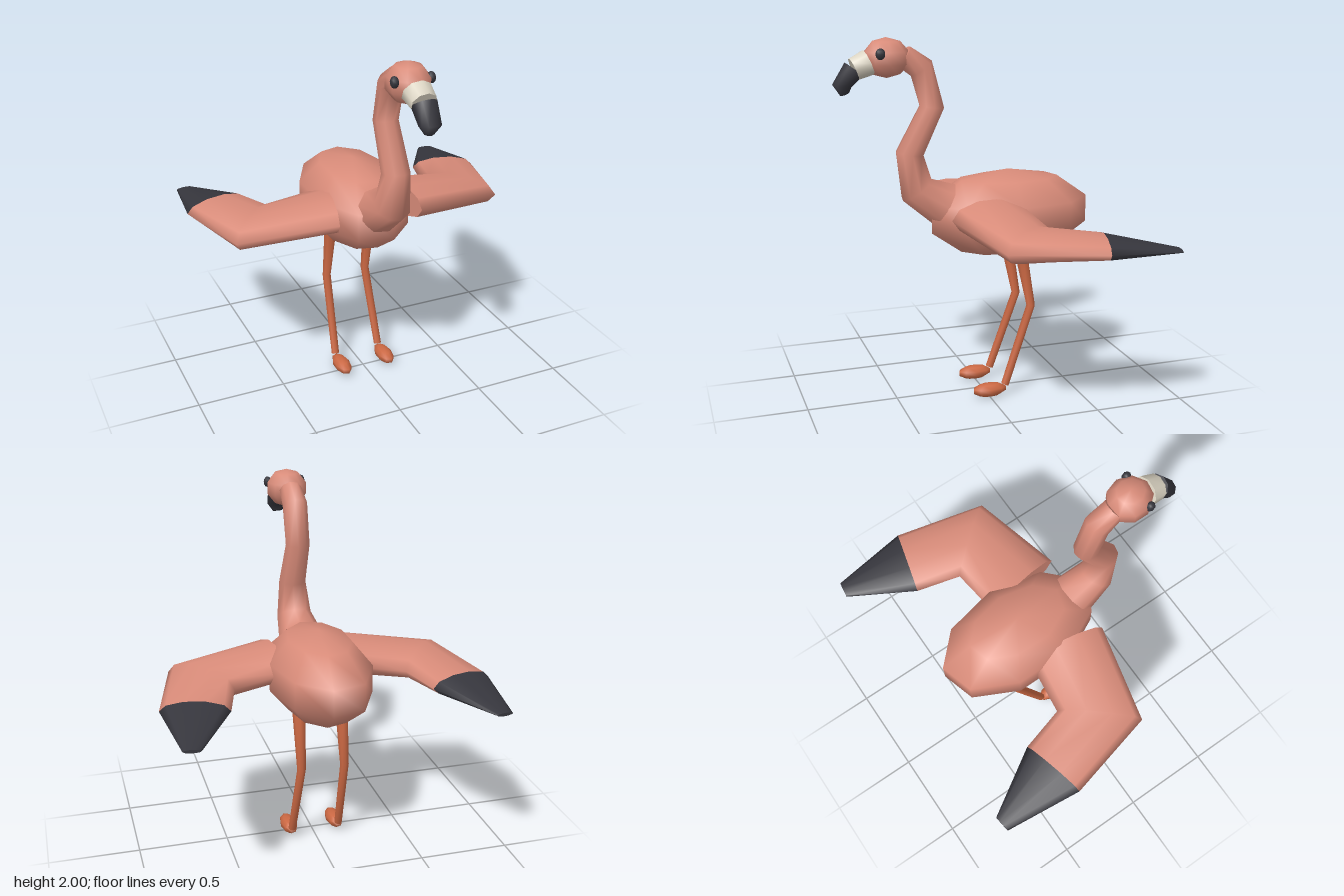
import * as THREE from 'three';

const mat = (name, color) => {
  const m = new THREE.MeshStandardMaterial({ color });
  m.name = name;
  return m;
};

// Closed skin over elliptical rings; each ring is [centre, half axis u, half axis v]
function loft(rings, sides = 9) {
  const axis = rings[1][0].clone().sub(rings[0][0]);
  const flip = rings[0][1].clone().cross(rings[0][2]).dot(axis) < 0 ? -1 : 1;
  const pos = [], index = [];
  const addRing = ([c, u, v]) => {
    const start = pos.length / 3;
    for (let j = 0; j < sides; j++) {
      const a = (j / sides) * Math.PI * 2;
      const p = c.clone().addScaledVector(u, Math.cos(a)).addScaledVector(v, flip * Math.sin(a));
      pos.push(p.x, p.y, p.z);
    }
    return start;
  };
  const starts = rings.map(addRing);
  for (let i = 0; i + 1 < rings.length; i++) {
    for (let j = 0; j < sides; j++) {
      const k = (j + 1) % sides;
      const a = starts[i] + j, b = starts[i] + k, c = starts[i + 1] + k, d = starts[i + 1] + j;
      index.push(a, b, c, a, c, d);
    }
  }
  // Flat end caps with their own vertices, so the rims stay sharp
  const first = addRing(rings[0]), last = addRing(rings[rings.length - 1]);
  for (let j = 1; j + 1 < sides; j++) {
    index.push(first, first + j + 1, first + j, last, last + j, last + j + 1);
  }
  const g = new THREE.BufferGeometry();
  g.setAttribute('position', new THREE.Float32BufferAttribute(pos, 3));
  g.setIndex(index);
  g.computeVertexNormals();
  return g;
}

// Tapered tube through [x, y, z, radius] points, mitred at the bends
function limb(points, sides = 9, widen = 1) {
  const c = points.map(p => new THREE.Vector3(p[0], p[1], p[2]));
  const dir = i => c[i + 1].clone().sub(c[i]).normalize();
  return loft(c.map((p, i) => {
    const t = new THREE.Vector3();
    if (i > 0) t.add(dir(i - 1));
    if (i + 1 < c.length) t.add(dir(i));
    const u = new THREE.Vector3(1, 0, 0);
    const v = t.cross(u).normalize().multiplyScalar(points[i][3]);
    return [p, u.multiplyScalar(points[i][3] * widen), v];
  }), sides);
}

// Coarse ellipsoid with a vertex on the +x side
function blob(rx, ry, rz, sides = 9, stacks = 5) {
  return new THREE.SphereGeometry(1, sides, stacks, Math.PI).scale(rx, ry, rz);
}

export function createModel() {
  const pink = mat('pink plumage', 0xd88b79);
  const dark = mat('charcoal', 0x36363d);
  const cream = mat('cream', 0xd9d2c1);
  const orange = mat('orange legs', 0xcb6843);

  const model = new THREE.Group();
  model.name = 'wadingBird';
  const add = (name, geometry, material, x = 0, y = 0, z = 0) => {
    const mesh = new THREE.Mesh(geometry, material);
    mesh.name = name;
    mesh.position.set(x, y, z);
    model.add(mesh);
  };

  // Body, S-shaped neck and head
  add('body', blob(0.284, 0.245, 0.48), pink, 0, 1.025, -0.15);
  add('neck', limb([
    [0, 1.1, 0.22, 0.125], [0, 1.19, 0.37, 0.098], [0, 1.385, 0.405, 0.076],
    [0, 1.63, 0.28, 0.067], [0, 1.835, 0.335, 0.069], [0, 1.9, 0.43, 0.062],
  ]), pink);
  add('head', blob(0.115, 0.105, 0.125), pink, 0, 1.895, 0.52);

  // Hooked beak in two colours
  add('beakBase', limb([[0, 1.875, 0.615, 0.07], [0, 1.842, 0.692, 0.06]], 9, 1.15), cream);
  add('beakTip', limb([
    [0, 1.842, 0.692, 0.058], [0, 1.757, 0.757, 0.05], [0, 1.715, 0.742, 0.025],
  ], 9, 1.15), dark);

  for (const s of [1, -1]) {
    const side = s > 0 ? 'left' : 'right';
    add(side + 'Eye', blob(0.022, 0.03, 0.026, 8, 6), dark, s * 0.097, 1.922, 0.572);

    // Bent wing: flat elliptical sections from shoulder to dark tip
    const section = (x, y, z, ux, uz, h) => [
      new THREE.Vector3(s * x, y, z), new THREE.Vector3(s * ux, 0, uz), new THREE.Vector3(0, h, 0)];
    const wrist = section(0.715, 0.995, -0.415, 0.175, 0.045, 0.056);
    add(side + 'Wing', loft([
      section(0.205, 1.06, 0.025, 0.035, 0.217, 0.095),
      section(0.622, 1.008, -0.048, 0.148, 0.173, 0.085),
      wrist,
    ], 10), pink);
    add(side + 'WingTip', loft([
      wrist, section(0.795, 0.962, -0.795, 0.045, 0.006, 0.009),
    ], 10), dark);

    // Leg with backward knee, and small oval foot
    add(side + 'Leg', limb([
      [s * 0.12, 0.83, -0.185, 0.036], [s * 0.122, 0.51, -0.247, 0.025], [s * 0.137, 0.062, -0.092, 0.023],
    ], 8), orange);
    add(side + 'Foot', blob(0.047, 0.04, 0.101), orange, s * 0.136, 0.04, 0);
  }
  return model;
}
